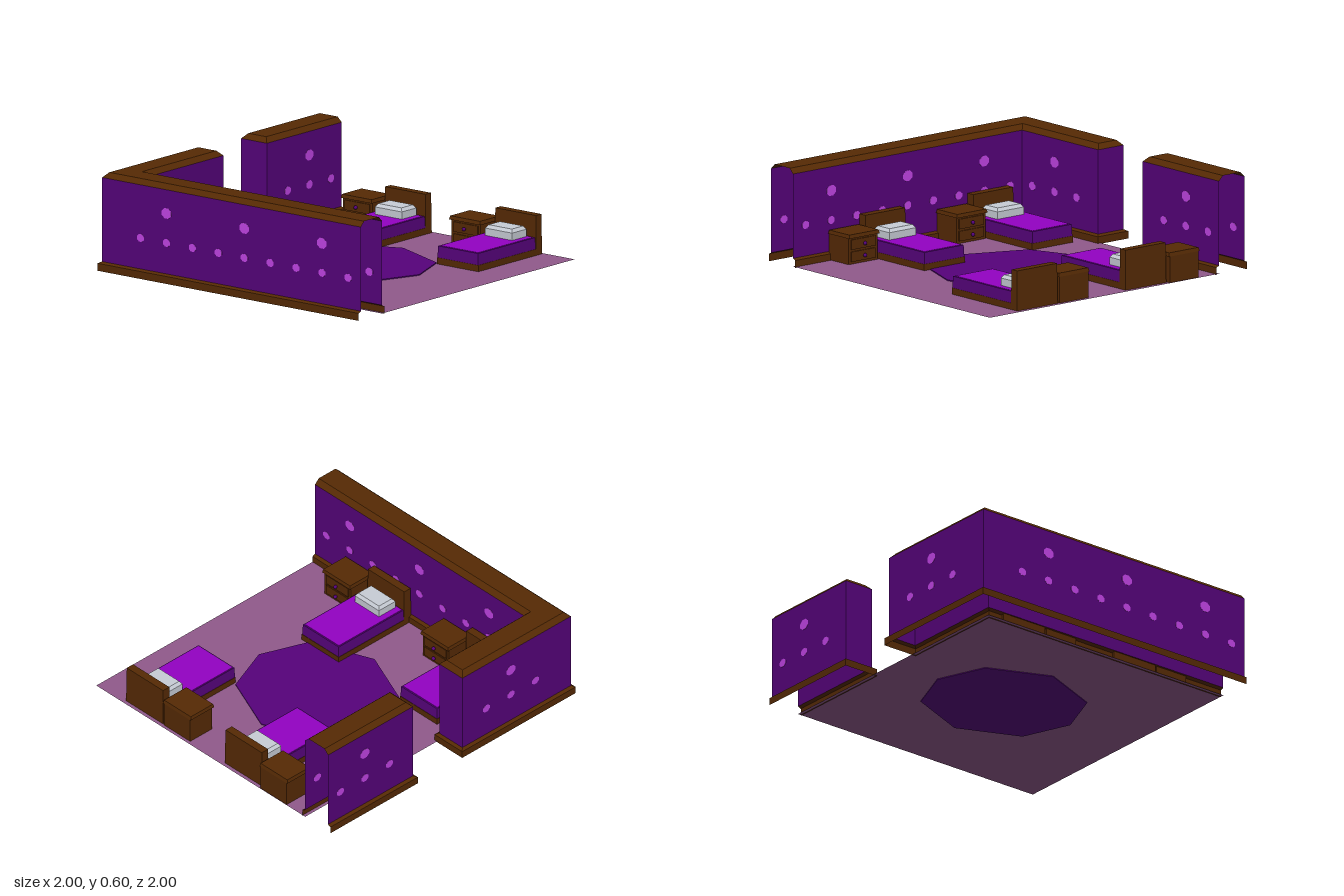
import * as THREE from 'three';

const mat = (name, color, side = THREE.FrontSide) => {
  const m = new THREE.MeshStandardMaterial({ color, side });
  m.name = name;
  return m;
};

export function createModel() {
  const brown = mat('brown wood', 0x562a04, THREE.DoubleSide);
  const purple = mat('deep purple', 0x56027b, THREE.DoubleSide);
  const violet = mat('bright violet', 0x9302c2);
  const lilac = mat('lilac spots', 0xc244e6);
  const mauve = mat('mauve floor', 0x905a8b, THREE.DoubleSide);
  const grey = mat('pillow grey', 0xc8cdd6);

  const room = new THREE.Group();
  room.name = 'bedroom';

  const add = (parent, name, geo, material, x = 0, y = 0, z = 0) => {
    const m = new THREE.Mesh(geo, material);
    m.name = name;
    m.position.set(x, y, z);
    parent.add(m);
    return m;
  };

  // Block standing on y, with its top face shrunk by an inset
  const block = (parent, name, material, w, h, d, x, y, z, inset = 0) => {
    let geo = new THREE.BoxGeometry(w, h, d);
    const p = geo.attributes.position;
    for (let i = 0; i < p.count; i++) {
      if (p.getY(i) > 0) {
        p.setX(i, p.getX(i) - Math.sign(p.getX(i)) * inset);
        p.setZ(i, p.getZ(i) - Math.sign(p.getZ(i)) * inset);
      }
    }
    geo = geo.toNonIndexed();
    geo.computeVertexNormals();
    return add(parent, name, geo, material, x, y + h / 2, z);
  };

  // Flat horizontal polygon from [x, z] points
  const toShape = (pts) => new THREE.Shape(pts.map(([x, z]) => new THREE.Vector2(x, -z)));
  const flat = (pts) => new THREE.ShapeGeometry(toShape(pts)).rotateX(-Math.PI / 2);

  // Open wall shell between two inset levels of a footprint
  const band = (outline, [y0, d0], [y1, d1]) => {
    const lo = outline(d0), hi = outline(d1), v = [];
    for (let i = 0; i < lo.length - 1; i++) {
      const a = [lo[i][0], y0, lo[i][1]], b = [lo[i + 1][0], y0, lo[i + 1][1]];
      const c = [hi[i + 1][0], y1, hi[i + 1][1]], d = [hi[i][0], y1, hi[i][1]];
      v.push(...a, ...d, ...c, ...a, ...c, ...b);
    }
    const geo = new THREE.BufferGeometry();
    geo.setAttribute('position', new THREE.Float32BufferAttribute(v, 3));
    geo.computeVertexNormals();
    return geo;
  };

  const buildWall = (name, outline) => {
    const g = new THREE.Group();
    g.name = name;
    const levels = [[0, 0], [0.045, 0], [0.055, 0.02], [0.565, 0.02], [0.595, 0.05]];
    const names = ['skirtingFace', 'skirtingBevel', 'wallPanel', 'cappingBevel'];
    names.forEach((n, i) =>
      add(g, n, band(outline, levels[i], levels[i + 1]), i === 2 ? purple : brown));
    add(g, 'cappingTop', flat(outline(0.05)), brown, 0, 0.595, 0);
    room.add(g);
  };

  const inner = 0.763; // inner edge of the skirting
  buildWall('cornerWall', (d) => [[1, 1 - d], [-1 + d, 1 - d], [-1 + d, 0.075 + d],
    [-inner - d, 0.075 + d], [-inner - d, inner + d], [1, inner + d]]);
  buildWall('sideWall', (d) => [[-inner - d, -1], [-inner - d, -0.287 - d],
    [-1 + d, -0.287 - d], [-1 + d, -1]]);

  // Spots on both faces of every wall
  const spot = new THREE.CylinderGeometry(1, 1, 0.003, 8).rotateY(Math.PI / 8).rotateX(Math.PI / 2);
  const addSpot = (along, y, r, side) => {
    for (const depth of [0.98, inner + 0.02]) {
      const m = add(room, 'wallSpot', spot, lilac, side ? -depth : along, y, side ? along : depth);
      if (side) m.rotation.y = Math.PI / 2;
      m.scale.set(r, r * 0.88, 1);
    }
  };
  for (let i = 0; i < 9; i++) addSpot(-0.686 + i * 0.1985, 0.243, 0.029, false);
  for (const x of [-0.487, 0.108, 0.702]) addSpot(x, 0.422, 0.039, false);
  for (const z of [0.69, 0.49, 0.29, -0.5, -0.7, -0.9]) addSpot(z, 0.243, 0.03, true);
  for (const z of [0.49, -0.7]) addSpot(z, 0.422, 0.039, true);

  // Floor and rug
  add(room, 'floor', flat([[-0.785, -1], [-0.785, 0.785], [1, 0.785], [1, -1]]), mauve, 0, 0.005, 0);
  const rug = [[0, -0.462], [0.387, -0.302], [0.505, 0], [0.387, 0.302], [0, 0.462],
    [-0.387, 0.302], [-0.505, 0], [-0.387, -0.302]];
  add(room, 'rug', new THREE.ExtrudeGeometry(toShape(rug), { depth: 0.011, bevelEnabled: false })
    .rotateX(-Math.PI / 2), purple, 0.05, 0, -0.1);

  // Bed: headboard at local z = 0, foot towards +z
  const buildBed = (x, z, turned) => {
    const g = new THREE.Group();
    g.name = 'bed';
    block(g, 'headboard', brown, 0.316, 0.242, 0.057, 0, 0.007, 0.0285, 0.003);
    block(g, 'bedFrame', brown, 0.316, 0.039, 0.534, 0, 0.007, 0.324);
    block(g, 'mattress', purple, 0.312, 0.07, 0.532, 0, 0.046, 0.323, 0.003);
    block(g, 'bedCover', violet, 0.29, 0.003, 0.51, 0, 0.1155, 0.322);
    block(g, 'pillowBase', grey, 0.206, 0.045, 0.134, 0, 0.118, 0.144);
    block(g, 'pillowTop', grey, 0.206, 0.02, 0.134, 0, 0.163, 0.144, 0.014);
    g.position.set(x, 0, z);
    if (turned) g.rotation.y = Math.PI;
    room.add(g);
  };

  // Nightstand: back at local z = 0, drawers towards +z
  const buildNightstand = (x, z, turned) => {
    const g = new THREE.Group();
    g.name = 'nightstand';
    block(g, 'cabinet', brown, 0.224, 0.16, 0.176, 0, 0.007, 0.09);
    block(g, 'tabletop', brown, 0.238, 0.022, 0.192, 0, 0.166, 0.096, 0.005);
    for (const y of [0.022, 0.095]) {
      block(g, 'drawerFront', brown, 0.19, 0.06, 0.008, 0, y, 0.181);
      const knob = new THREE.SphereGeometry(0.012, 8, 6);
      add(g, 'drawerKnob', knob, purple, 0, y + 0.03, 0.198);
    }
    g.position.set(x, 0, z);
    if (turned) g.rotation.y = Math.PI;
    room.add(g);
  };

  buildBed(-0.233, -0.978, false);
  buildBed(0.611, -0.978, false);
  buildBed(-0.508, 0.779, true);
  buildBed(0.332, 0.779, true);
  buildNightstand(-0.513, -1, false);
  buildNightstand(0.33, -0.983, false);
  buildNightstand(-0.226, 0.777, true);
  buildNightstand(0.613, 0.777, true);

  return room;
}
